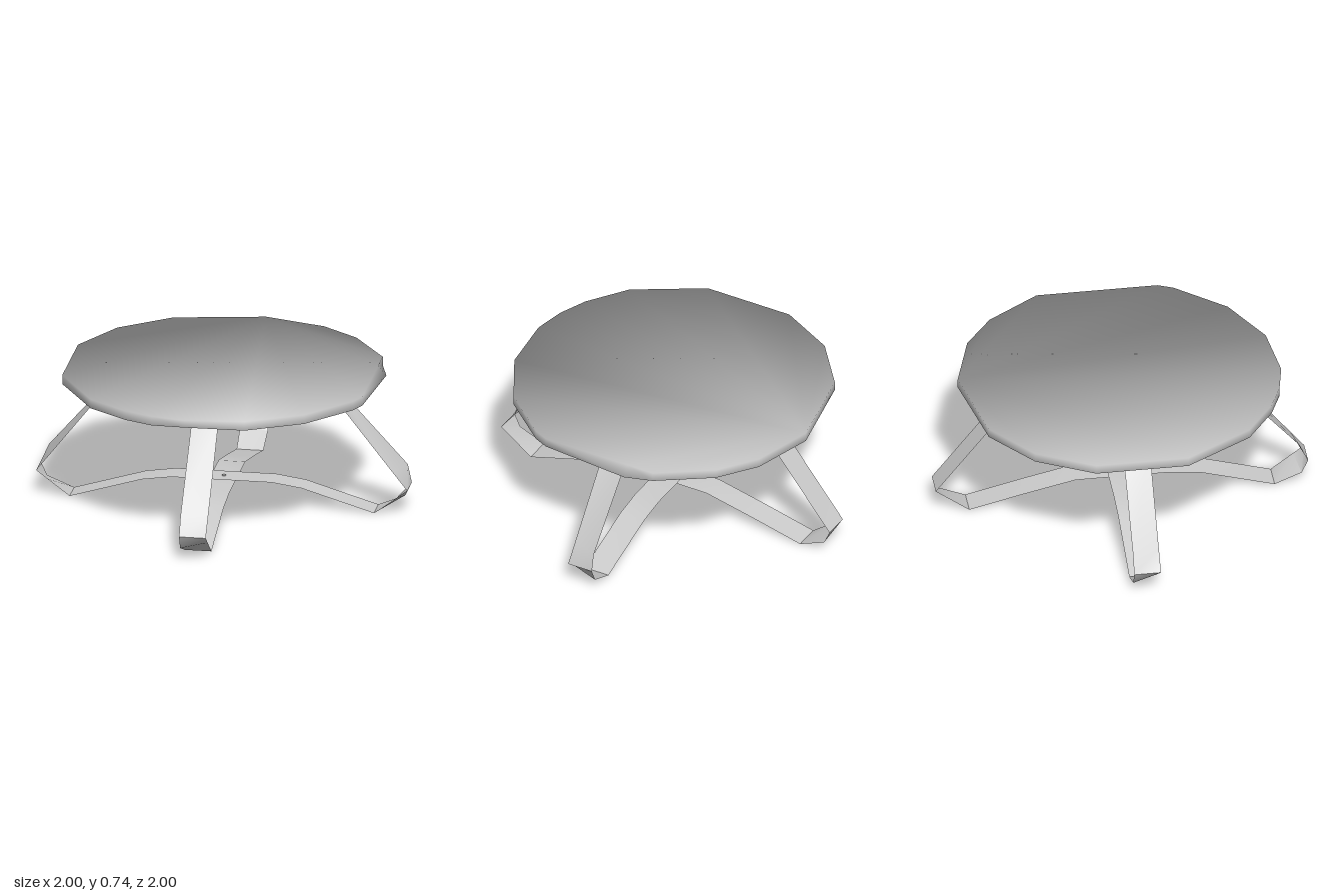
import * as THREE from 'three';
import { toCreasedNormals } from 'three/addons/utils/BufferGeometryUtils.js';

const grey = new THREE.MeshStandardMaterial({ color: 0xcccccc, side: THREE.DoubleSide });
grey.name = 'grey';

const TOP = 0.745, UNDER = 0.695, HALF_WIDTH = 0.072;

// Irregular rim (x, z), clockwise from the back
const RIM = [
  [0.08, -0.86], [0.41, -0.76], [0.61, -0.61], [0.8, -0.33], [0.8, -0.18], [0.8, 0.32],
  [0.765, 0.4], [0.545, 0.66], [0.25, 0.82], [-0.075, 0.855], [-0.25, 0.82], [-0.405, 0.755],
  [-0.615, 0.605], [-0.83, 0.245], [-0.83, -0.25], [-0.67, -0.555], [-0.405, -0.765],
];

function makeGeometry(positions, index) {
  const geo = new THREE.BufferGeometry();
  geo.setAttribute('position', new THREE.Float32BufferAttribute(positions, 3));
  geo.setIndex(index);
  return geo;
}

// Table top: two facing polygons and a rim, shaded as one soft pebble
function makeTableTop() {
  const n = RIM.length, positions = [], normals = [], index = [];
  const under = RIM.map(([x, z], i) => (i === 4 ? [0.845, -0.18] : i === 9 ? [x, 0.825] : [x, z]));
  for (const [ring, y, tilt] of [[RIM, TOP, 0.33], [under, UNDER, -0.33]]) {
    for (const [x, z] of ring) {
      positions.push(x, y, z);
      const v = new THREE.Vector3(x / 0.85, tilt, z / 0.85).normalize();
      normals.push(v.x, v.y, v.z);
    }
  }
  for (let i = 0; i < n; i++) {
    const j = (i + 1) % n;
    index.push(i, j, n + i, j, n + j, n + i);
    if (i > 0 && j > 0) index.push(0, j, i, n, n + i, n + j);
  }
  const geo = makeGeometry(positions, index);
  geo.setAttribute('normal', new THREE.Float32BufferAttribute(normals, 3));
  return geo;
}

// Bent strap along +x: one edge is kinked, the other bulges outwards
function makeStrap({ bulge, side, arch }) {
  const kinked = [[0.29, 0.675], [0.58, 0.675], [0.921, 0.24], [1, 0.14], [0.94, 0.095], [0.82, 0.005], ...arch];
  const round = kinked.map((p) => [...p]);
  round[2][0] += 0.058 * bulge;
  round[4] = [0.965, 0.065];
  const positions = [], index = [];
  kinked.forEach((p, i) => {
    const [a, b] = side > 0 ? [round[i], p] : [p, round[i]];
    positions.push(a[0], a[1], HALF_WIDTH, b[0], b[1], -HALF_WIDTH);
    if (i > 0) {
      const k = 2 * i - 2;
      index.push(k, k + 2, k + 1, k + 2, k + 3, k + 1);
    }
  });
  return toCreasedNormals(makeGeometry(positions, index), 0.65);
}

export function createModel() {
  const group = new THREE.Group();
  const add = (parent, name, geo) => {
    const mesh = new THREE.Mesh(geo, grey);
    mesh.name = name;
    parent.add(mesh);
    return mesh;
  };

  add(group, 'tableTop', makeTableTop());

  // Four straps; opposite ones meet under the middle
  const xArch = [[0.43, 0.122], [0.27, 0.145], [0, 0.145]];
  const legs = [
    { name: 'leftLeg', angle: 0, bulge: 1, side: -1, arch: xArch },
    { name: 'rightLeg', angle: Math.PI, bulge: 0.6, side: 1, arch: xArch },
    { name: 'frontLeg', angle: -Math.PI / 2, bulge: 0.6, side: 1, arch: [[0.43, 0.118], [0.25, 0.138], [0, 0.139]] },
    { name: 'backLeg', angle: Math.PI / 2, bulge: 0, side: 1, arch: [[0.53, 0.076], [0.25, 0.139], [0, 0.139]] },
  ];
  const screw = new THREE.SphereGeometry(0.014, 10, 6);
  screw.scale(1, 0.7, 1);
  for (const leg of legs) {
    const part = new THREE.Group();
    part.name = leg.name;
    part.rotation.y = leg.angle;
    add(part, 'strap', makeStrap(leg));
    for (const x of [0.38, 0.46]) add(part, 'tabScrew', screw).position.set(x, 0.673, 0);
    group.add(part);
  }

  // Screw through the crossing
  add(group, 'crossScrew', new THREE.CylinderGeometry(0.011, 0.011, 0.016, 10)).position.y = 0.142;
  return group;
}
